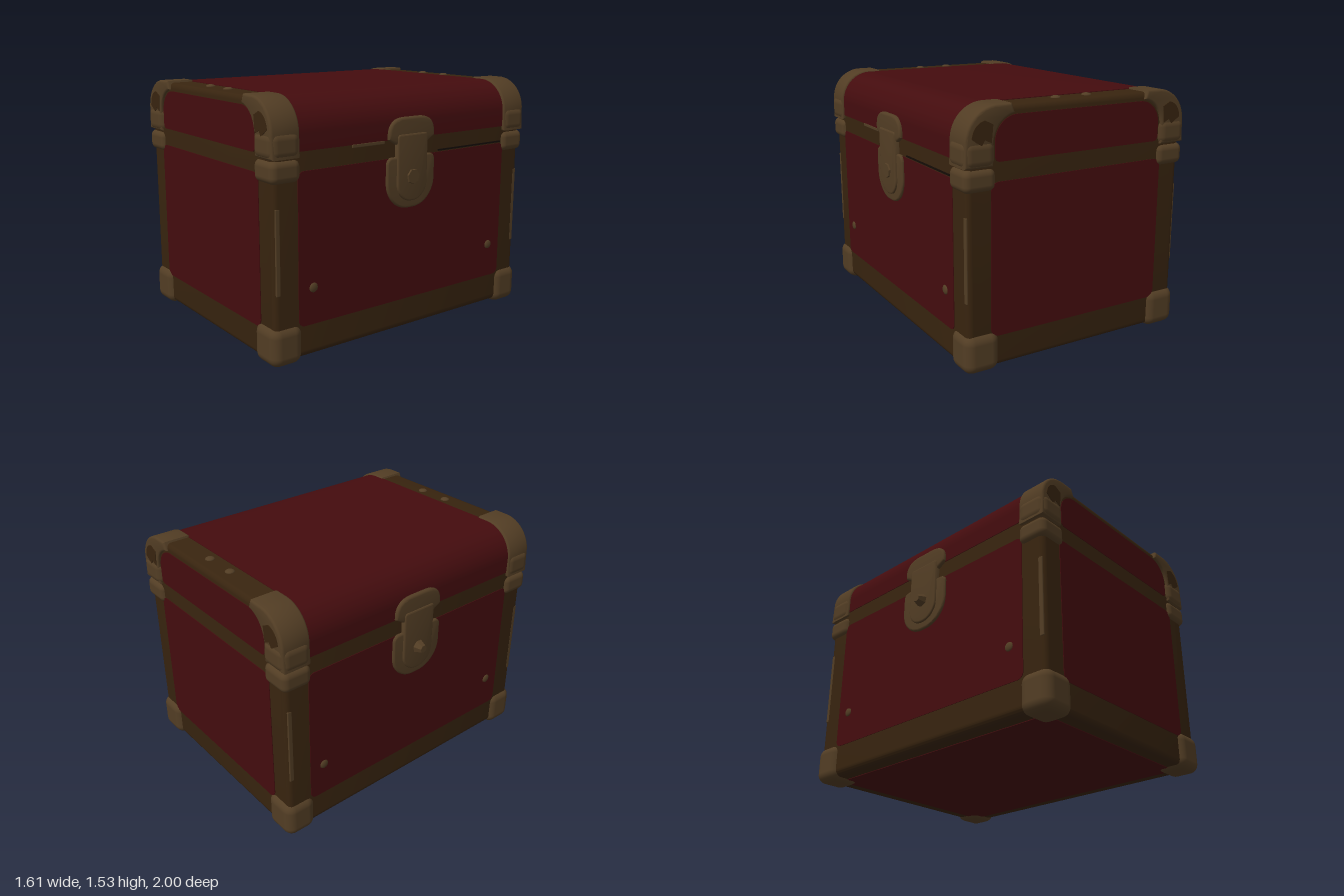
import * as THREE from 'three';
import { toCreasedNormals } from 'three/addons/utils/BufferGeometryUtils.js';
import { RoundedBoxGeometry } from 'three/addons/geometries/RoundedBoxGeometry.js';

const mat = (name, color) => Object.assign(new THREE.MeshStandardMaterial({ color }), { name });

// Upright rectangle with its own corner radius at the bottom and the top
function panelShape(hw, y0, y1, rb, rt) {
  const s = new THREE.Shape();
  const q = Math.PI / 2;
  s.moveTo(-hw + rb, y0);
  s.lineTo(hw - rb, y0);
  if (rb) s.absarc(hw - rb, y0 + rb, rb, -q, 0);
  s.lineTo(hw, y1 - rt);
  if (rt) s.absarc(hw - rt, y1 - rt, rt, 0, q);
  s.lineTo(-hw + rt, y1);
  if (rt) s.absarc(-hw + rt, y1 - rt, rt, q, 2 * q);
  s.lineTo(-hw, y0 + rb);
  if (rb) s.absarc(-hw + rb, y0 + rb, rb, 2 * q, 3 * q);
  return s;
}

// Extrusion centred on z = 0; total depth includes the bevel
function extrude(shape, depth, bevel = 0) {
  const g = new THREE.ExtrudeGeometry(shape, {
    depth: depth - 2 * bevel, curveSegments: 10, bevelEnabled: bevel > 0,
    bevelThickness: bevel, bevelSize: bevel, bevelOffset: -bevel, bevelSegments: 3,
  });
  g.translate(0, 0, -depth / 2 + bevel);
  return toCreasedNormals(g, 0.7);
}

export function createModel() {
  const red = mat('red leather', 0x440c0e);
  const brown = mat('brown trim', 0x38240f);
  const bronze = mat('bronze fittings', 0x523d24);
  const dark = mat('dark seam', 0x140c06);

  const model = new THREE.Group();
  model.name = 'chest';
  const chest = new THREE.Group();
  chest.name = 'chestBody';
  chest.position.x = 0.015;
  model.add(chest);

  const add = (name, geo, material, x = 0, y = 0, z = 0, ry = 0, parent = chest) => {
    const m = new THREE.Mesh(geo, material);
    m.name = name;
    m.position.set(x, y, z);
    m.rotation.y = ry;
    parent.add(m);
    return m;
  };

  const HW = 0.743, HZ = 0.972, TOP = 1.521;

  // Trim-coloured box with the rounded lid
  add('trimBody', extrude(panelShape(HW, 0.025, TOP, 0.045, 0.2), HZ * 2, 0.03), brown);

  // Red lid covering wrapped from one side over to the other
  add('lidCovering', extrude(panelShape(HW + 0.004, 1.23, TOP + 0.004, 0, 0.2), 1.63), red);

  // Red panels on the ends, sides and underside
  const endPanel = extrude(panelShape(0.594, 0.21, 1.11, 0.05, 0.05), 0.008);
  const endLidPanel = extrude(panelShape(0.568, 1.22, 1.47, 0.03, 0.14), 0.008);
  const sidePanel = extrude(panelShape(0.815, 0.22, 1.12, 0.04, 0.04), 0.008);
  for (const s of [1, -1]) {
    add('endPanel', endPanel, red, 0, 0, s * HZ);
    add('endLidPanel', endLidPanel, red, 0, 0, s * HZ);
    add('sidePanel', sidePanel, red, s * HW, 0, 0, s * Math.PI / 2);
  }
  add('bottomPanel', new THREE.BoxGeometry(1.28, 0.008, 1.75), red, 0, 0.025, 0);

  // Corner fittings
  const footGeo = new RoundedBoxGeometry(0.225, 0.24, 0.21, 4, 0.06);
  const collarGeo = new RoundedBoxGeometry(0.2, 0.13, 0.195, 4, 0.04);
  const bulgeGeo = new RoundedBoxGeometry(0.2, 0.16, 0.2, 4, 0.05);
  const cap = new THREE.Shape();
  cap.moveTo(0.585, 1.2);
  cap.lineTo(0.762, 1.2);
  cap.lineTo(0.757, 1.33);
  cap.absarc(0.557, 1.333, 0.2, 0, Math.PI / 2);
  cap.lineTo(0.47, 1.533);
  cap.lineTo(0.45, 1.48);
  cap.quadraticCurveTo(0.58, 1.45, 0.585, 1.3);
  const capGeo = extrude(cap, 0.185, 0.014);
  const wear = new THREE.Shape();
  wear.moveTo(0.6, 1.33);
  wear.lineTo(0.64, 1.35);
  wear.lineTo(0.66, 1.32);
  wear.lineTo(0.72, 1.36);
  wear.quadraticCurveTo(0.71, 1.44, 0.64, 1.455);
  wear.lineTo(0.59, 1.43);
  const wearGeo = extrude(wear, 0.006);
  for (const sx of [1, -1]) for (const sz of [1, -1]) {
    const turn = sx > 0 ? 0 : Math.PI;
    add('bottomCorner', footGeo, bronze, sx * 0.652, 0.125, sz * 0.893);
    add('baseCollar', collarGeo, bronze, sx * 0.665, 1.128, sz * 0.896);
    add('lidCornerBulge', bulgeGeo, bronze, sx * 0.668, 1.27, sz * 0.898);
    add('lidCornerCap', capGeo, bronze, 0, 0, sz * 0.897, turn);
    add('lidCornerWear', wearGeo, brown, 0, 0, sz * 0.99, turn);
    // Worn vertical edges
    add('edgeWear', new RoundedBoxGeometry(0.014, 0.5, 0.03, 2, 0.006), bronze,
      sx * 0.737, 0.68, sz * 0.947);
  }

  // Studs on the lid edges and low on the sides
  const studGeo = new THREE.SphereGeometry(0.03, 12, 8);
  studGeo.scale(1, 0.45, 1);
  for (const s of [1, -1]) {
    for (const x of [-0.1, 0.115]) add('lidStud', studGeo, bronze, x, TOP, s * 0.875);
    for (const z of [0.715, -0.715]) {
      add('sideStud', studGeo, bronze, s * (HW + 0.002), 0.44, z).rotation.z = Math.PI / 2;
    }
  }

  // Worn patch and open seam on the lid rim
  add('rimWear', new RoundedBoxGeometry(0.012, 0.022, 0.24, 2, 0.005), bronze, HW, 1.222, 0.32);
  add('rimSeam', new THREE.BoxGeometry(0.008, 0.01, 0.56), dark, HW + 0.002, 1.132, -0.51);

  // Latch, built facing +z and turned to each side
  const hasp = new THREE.Shape();
  hasp.moveTo(-0.12, 1.2);
  hasp.lineTo(0.12, 1.2);
  hasp.lineTo(0.18, 1.235);
  hasp.quadraticCurveTo(0.19, 1.36, 0.06, 1.36);
  hasp.lineTo(-0.06, 1.36);
  hasp.quadraticCurveTo(-0.19, 1.36, -0.18, 1.235);
  const lockGeo = extrude(panelShape(0.19, 0.805, 1.125, 0.17, 0.04), 0.04, 0.012);
  const haspGeo = extrude(hasp, 0.05, 0.015);
  const tongueGeo = extrude(panelShape(0.118, 0.85, 1.26, 0.112, 0.02), 0.05, 0.01);
  for (const s of [1, -1]) {
    const latch = new THREE.Group();
    latch.name = s > 0 ? 'leftLatch' : 'rightLatch';
    latch.rotation.y = s * Math.PI / 2;
    latch.position.x = s * HW;
    chest.add(latch);
    add('lockPlate', lockGeo, bronze, 0, 0, 0, 0, latch);
    add('hasp', haspGeo, bronze, 0, 0, 0, 0, latch);
    add('tongue', tongueGeo, bronze, 0, 0, 0.008, 0, latch);
    // The knob on the right side stands out further
    const h = s > 0 ? 0.043 : 0.08;
    const knob = new THREE.CylinderGeometry(s > 0 ? 0.045 : 0.025, 0.057, h, 7);
    knob.rotateX(Math.PI / 2);
    add('knob', toCreasedNormals(knob, 0.5), bronze, 0, 1, h / 2, 0, latch);
  }

  return model;
}
